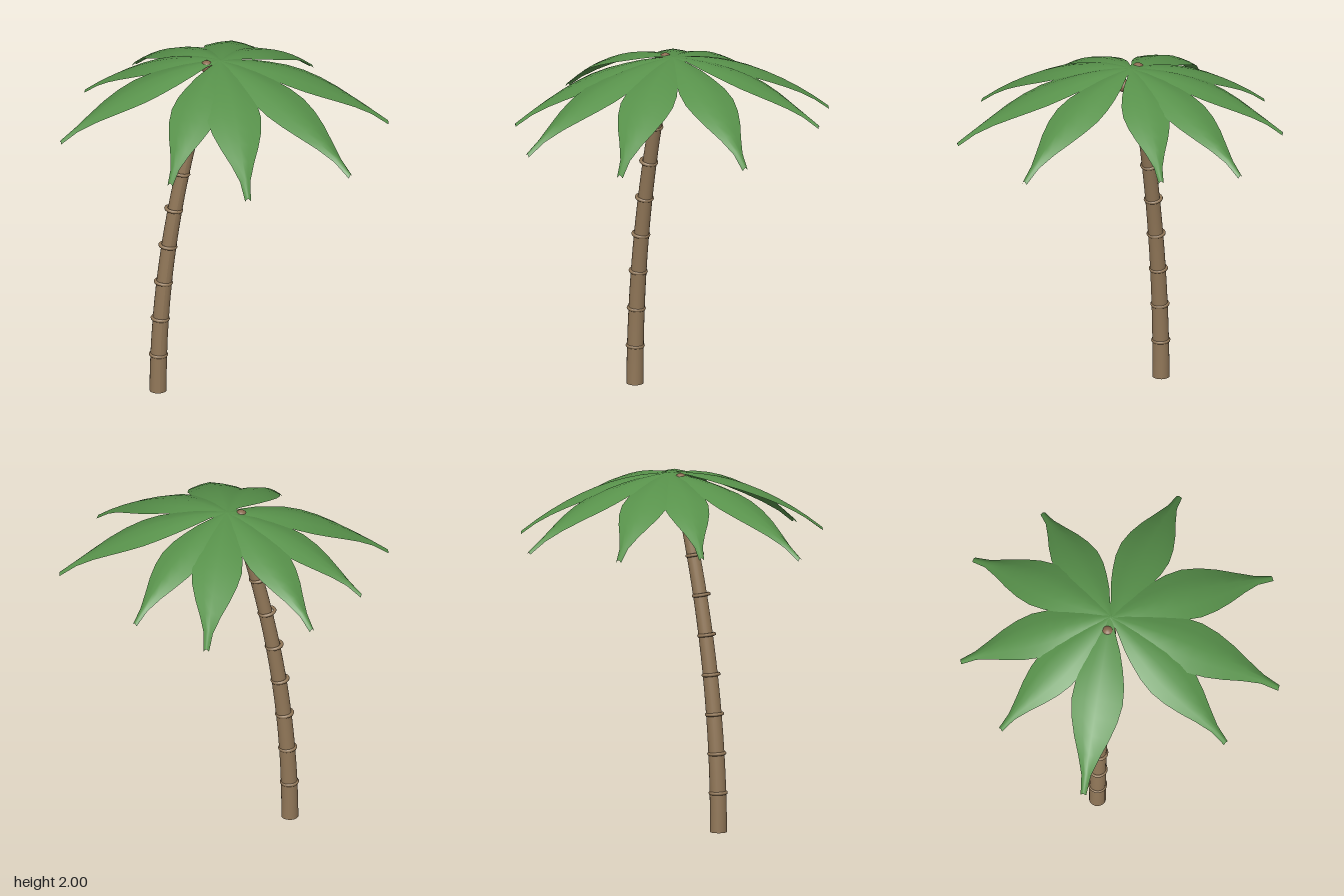
import * as THREE from 'three';

const CROWN = new THREE.Vector3(0, 1.995, -0.06);
const trunkX = (y) => -0.357 + 0.079 * y * y;      // leaning curve of the trunk
const trunkSlope = (y) => 0.158 * y;

export function createModel() {
  const model = new THREE.Group();
  const mat = (name, color, side = THREE.FrontSide) => {
    const m = new THREE.MeshStandardMaterial({ color, side });
    m.name = name;
    return m;
  };
  const bark = mat('bark brown', 0x927859);
  const nutBrown = mat('coconut brown', 0x8a6a50);
  const green = mat('leaf green', 0x58924b, THREE.DoubleSide);

  const add = (name, geometry, material, parent = model) => {
    const mesh = new THREE.Mesh(geometry, material);
    mesh.name = name;
    parent.add(mesh);
    return mesh;
  };

  // Trunk: tapered cylinder bent along the curve
  const H = 1.95;
  const trunk = new THREE.CylinderGeometry(0.036, 0.048, H, 20, 18);
  trunk.translate(0, H / 2, 0);
  const tp = trunk.attributes.position;
  for (let i = 0; i < tp.count; i++) tp.setX(i, tp.getX(i) + trunkX(tp.getY(i)));
  trunk.computeVertexNormals();
  add('trunk', trunk, bark).position.z = -0.053;

  // Rings around the trunk, square to its lean
  const rings = new THREE.Group();
  rings.name = 'trunkRings';
  model.add(rings);
  const ringGeo = new THREE.TorusGeometry(0.044, 0.01, 8, 20).rotateX(Math.PI / 2);
  for (let i = 1; i <= 8; i++) {
    const y = i * 0.2215;
    const ring = add('trunkRing', ringGeo, bark, rings);
    ring.position.set(trunkX(y) - 0.007 * y, y, -0.053);
    ring.rotation.z = -Math.atan(trunkSlope(y));
  }

  // Leaf of unit length along +x: arched, drooping, with lowered edges
  const halfWidths = [0.012, 0.045, 0.09, 0.123, 0.148, 0.156, 0.14, 0.108, 0.066, 0.029, 0.017];
  const leafGeo = new THREE.PlaneGeometry(1, 2, 10, 4).rotateX(-Math.PI / 2);
  const lp = leafGeo.attributes.position;
  for (let i = 0; i < lp.count; i++) {
    const t = lp.getX(i) + 0.5;
    const s = lp.getZ(i);
    const w = halfWidths[Math.round(t * 10)];
    const edgeDrop = (0.015 + 0.15 * w) * Math.min(1, t * 4);
    lp.setXYZ(i, t, -0.405 * t * t - edgeDrop * Math.abs(s) ** 1.5, s * w);
  }
  leafGeo.computeVertexNormals();

  // Nine leaves, given by where their tips lie (x, z)
  const leaves = new THREE.Group();
  leaves.name = 'leaves';
  model.add(leaves);
  const tips = [
    [0.92, 0.115], [0.575, 0.73], [-0.05, 0.915], [-0.45, 0.705], [-0.925, 0],
    [-0.67, -0.535], [-0.325, -0.845], [0.29, -0.915], [0.635, -0.6],
  ];
  for (const [x, z] of tips) {
    const dx = x - CROWN.x, dz = z - CROWN.z;
    const leaf = add('leaf', leafGeo, green, leaves);
    leaf.position.copy(CROWN);
    leaf.rotation.y = Math.atan2(-dz, dx);
    leaf.scale.setScalar(Math.hypot(dx, dz));
  }

  // Coconuts under the crown, one peeping between the leaves
  const nuts = new THREE.Group();
  nuts.name = 'coconuts';
  model.add(nuts);
  const nutGeo = new THREE.SphereGeometry(0.036, 16, 12);
  for (const [x, y, z] of [[0.07, 1.915, -0.05], [0, 1.915, 0.015], [-0.078, 1.965, -0.06], [-0.005, 1.915, -0.125]]) {
    add('coconut', nutGeo, nutBrown, nuts).position.set(x, y, z);
  }

  return model;
}
